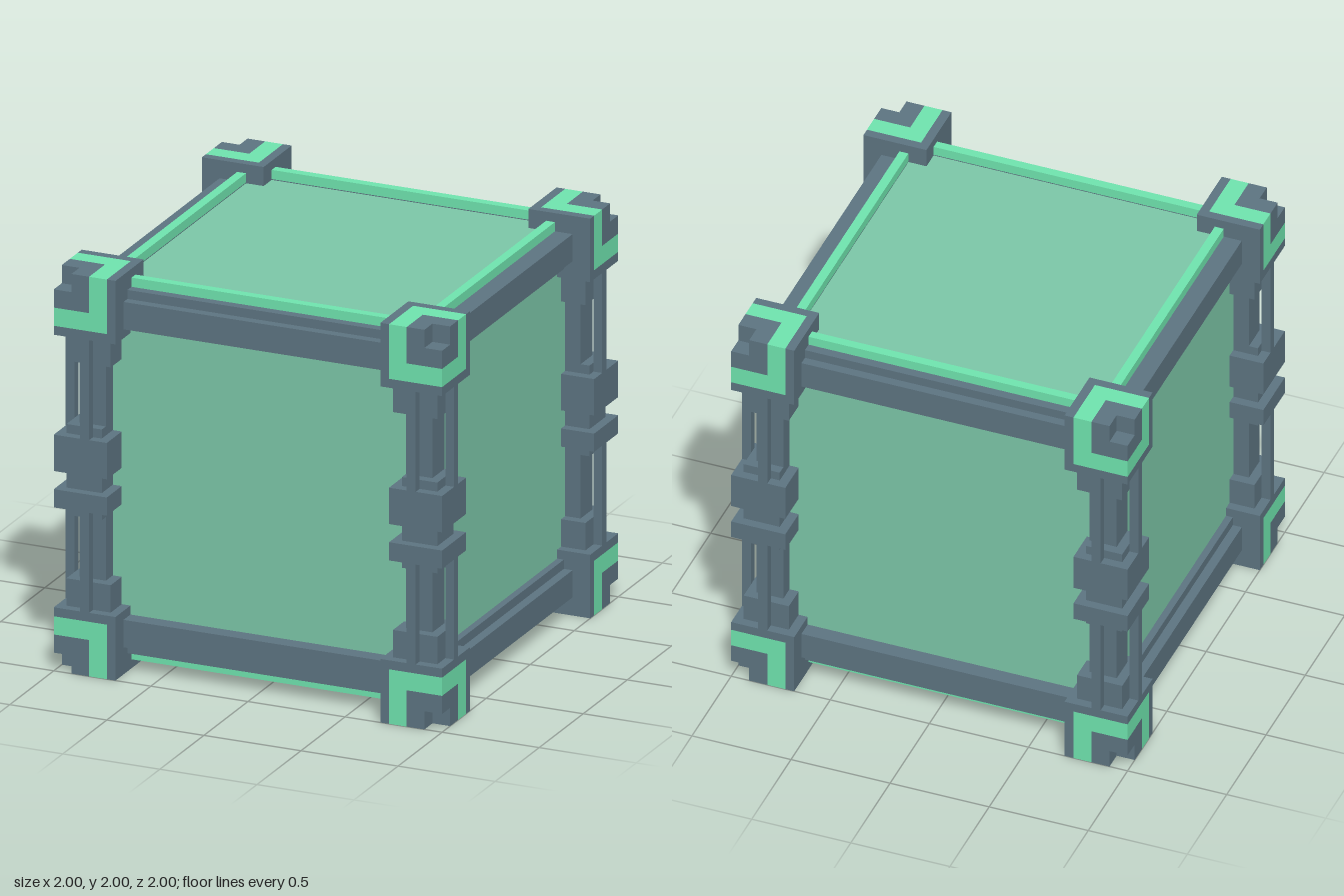
import * as THREE from 'three';

const slate = new THREE.MeshStandardMaterial({ color: 0x5e7582 });
slate.name = 'slate';
const mint = new THREE.MeshStandardMaterial({ color: 0x70e6b0 });
mint.name = 'mint';
const sage = new THREE.MeshStandardMaterial({ color: 0x7dc8a9 });
sage.name = 'sage';

// Box between two corners; each axis is a [from, to] pair
function addBox(parent, name, material, [x0, x1], [y0, y1], [z0, z1]) {
  const geometry = new THREE.BoxGeometry(Math.abs(x1 - x0), Math.abs(y1 - y0), Math.abs(z1 - z0));
  const mesh = new THREE.Mesh(geometry, material);
  mesh.position.set((x0 + x1) / 2, (y0 + y1) / 2, (z0 + z1) / 2);
  mesh.name = name;
  parent.add(mesh);
}

const flip = (sign, a, b) => [sign * a, sign * b];
const SIDES = [-1, 1];

export function createModel() {
  const model = new THREE.Group();
  model.name = 'framedCube';
  const body = new THREE.Group();
  body.name = 'body';
  body.position.y = 1; // built around the cube's centre
  model.add(body);

  // Corner blocks: nested three-sided shells, leaving a notch at the outer tip
  const shells = [[0.682, 0.727, slate], [0.727, 0.818, mint], [0.818, 0.909, slate]];
  for (const sx of SIDES) for (const sy of SIDES) for (const sz of SIDES) {
    const corner = new THREE.Group();
    corner.name = 'cornerBlock';
    body.add(corner);
    for (const [a, b, material] of shells) {
      addBox(corner, 'cornerShell', material, flip(sx, a, b), flip(sy, a, 1), flip(sz, a, 1));
      addBox(corner, 'cornerShell', material, flip(sx, b, 1), flip(sy, a, b), flip(sz, a, 1));
      addBox(corner, 'cornerShell', material, flip(sx, b, 1), flip(sy, b, 1), flip(sz, a, b));
    }
  }

  // Upright columns: core, free-standing outer posts, capitals, neck and two rings
  for (const sx of SIDES) for (const sz of SIDES) {
    const column = new THREE.Group();
    column.name = 'column';
    body.add(column);
    const square = (name, a, b, y) => addBox(column, name, slate, flip(sx, a, b), y, flip(sz, a, b));
    square('core', 0.773, 0.909, [-0.69, 0.69]);
    square('lowerCapital', 0.727, 0.955, [-0.69, -0.545]);
    square('upperCapital', 0.727, 0.955, [0.545, 0.69]);
    square('neck', 0.773, 0.955, [-0.227, 0.227]);
    square('lowerRing', 0.727, 1, [-0.182, -0.091]);
    square('upperRing', 0.727, 1, [0, 0.182]);
    for (const y of [[-0.69, -0.18], [0.18, 0.69]]) {
      addBox(column, 'outerPost', slate, flip(sx, 0.818, 0.864), y, flip(sz, 0.955, 1));
      addBox(column, 'outerPost', slate, flip(sx, 0.955, 1), y, flip(sz, 0.818, 0.864));
    }
  }

  // Horizontal beams with a stepped edge, each carrying a mint rail
  const span = [-0.69, 0.69];
  for (const sy of SIDES) for (const s of SIDES) {
    addBox(body, 'crossBeam', slate, span, flip(sy, 0.727, 0.864), flip(s, 0.773, 0.909));
    addBox(body, 'crossBeamStep', slate, span, flip(sy, 0.864, 0.909), flip(s, 0.773, 0.864));
    addBox(body, 'crossRail', mint, span, flip(sy, 0.909, 0.955), flip(s, 0.773, 0.818));
    addBox(body, 'sideBeam', slate, flip(s, 0.773, 0.909), flip(sy, 0.773, 0.909), span);
    addBox(body, 'sideBeamStep', slate, flip(s, 0.773, 0.864), flip(sy, 0.727, 0.773), span);
    addBox(body, 'sideRail', mint, flip(s, 0.773, 0.818), flip(sy, 0.909, 0.955), span);
  }

  // Wall panels and the slim rails inside them; the underside stays open
  const wall = [-0.81, 0.81];
  for (const s of SIDES) {
    addBox(body, 'facePanel', sage, wall, wall, flip(s, 0.81, 0.83));
    addBox(body, 'sidePanel', sage, flip(s, 0.81, 0.83), wall, wall);
    addBox(body, 'innerRail', slate, wall, [-0.36, -0.24], flip(s, 0.74, 0.82));
    addBox(body, 'innerRail', slate, flip(s, 0.74, 0.82), [-0.36, -0.24], wall);
  }
  addBox(body, 'topPanel', sage, wall, [0.885, 0.905], wall);

  return model;
}
